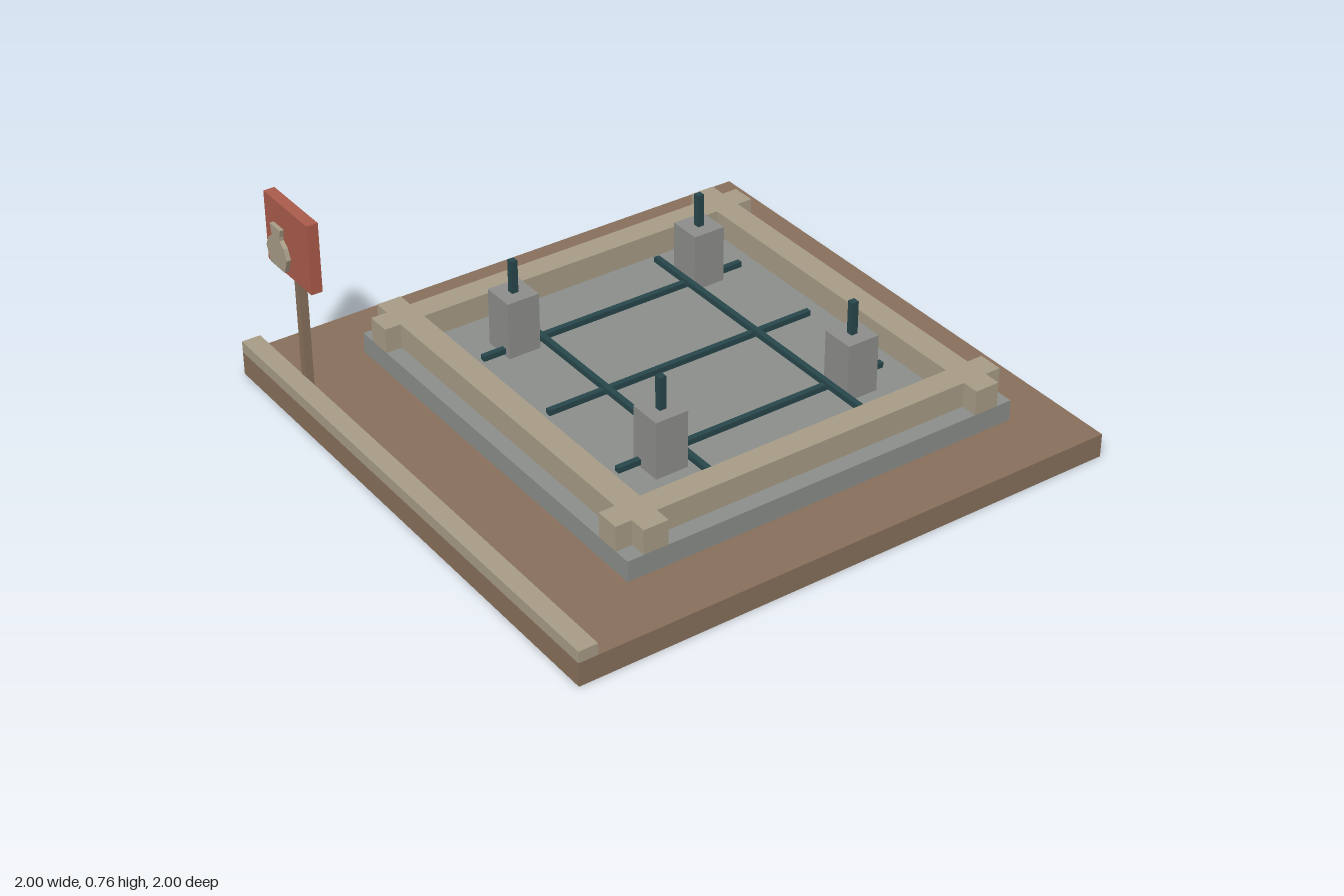
import * as THREE from 'three';

const mat = (name, color) => {
  const m = new THREE.MeshStandardMaterial({ color });
  m.name = name;
  return m;
};

export function createModel() {
  const group = new THREE.Group();
  const earth = mat('earth brown', 0x88705b);
  const sand = mat('sandy beige', 0xa89d87);
  const slabGrey = mat('slab grey', 0x8b8f8a);
  const concrete = mat('concrete grey', 0x8e8e8c);
  const steel = mat('dark teal steel', 0x28474b);
  const red = mat('brick red', 0xab5c4b);

  const add = (name, geometry, material, x = 0, y = 0, z = 0) => {
    const mesh = new THREE.Mesh(geometry, material);
    mesh.name = name;
    mesh.position.set(x, y, z);
    group.add(mesh);
    return mesh;
  };
  // Box given by its lower and upper limits on each axis
  const box = (name, material, [x0, x1], [y0, y1], [z0, z1]) =>
    add(name, new THREE.BoxGeometry(x1 - x0, y1 - y0, z1 - z0), material,
      (x0 + x1) / 2, (y0 + y1) / 2, (z0 + z1) / 2);

  // Ground plate, front kerb and foundation slab
  box('ground', earth, [-1, 1], [0, 0.085], [-1, 1]);
  box('kerb', sand, [-1, 1], [0.085, 0.127], [0.932, 1]);
  box('slab', slabGrey, [-0.768, 0.768], [0.085, 0.16], [-0.812, 0.67]);

  // Crossed formwork beams: one outline with notched corners and an open middle
  const centreZ = -0.071;
  const ox = 0.768, mx = 0.707, ix = 0.618;
  const oz = 0.741, mz = 0.683, iz = 0.593;
  const rect = (x, z) => [[-x, -z], [x, -z], [x, z], [-x, z]].map(p => new THREE.Vector2(...p));
  const quarter = [[ox, iz], [ox, mz], [mx, mz], [mx, oz], [ix, oz], [ix, mz]];
  const outline = [];
  for (const [sx, sz] of [[1, 1], [-1, 1], [-1, -1], [1, -1]]) {
    const corner = quarter.map(([x, z]) => new THREE.Vector2(x * sx, z * sz));
    outline.push(...(sx * sz > 0 ? corner : corner.reverse()));
  }
  // Each side beam is recessed between the corner ends
  const side = outline.map(p => {
    if (Math.abs(p.x) === ox && Math.abs(p.y) === iz) return new THREE.Vector2(Math.sign(p.x) * mx, p.y);
    return p;
  });
  const points = [];
  side.forEach((p, i) => {
    const end = new THREE.Vector2(Math.sign(p.x) * ox, p.y);
    const recessed = Math.abs(p.x) === mx && Math.abs(p.y) === iz;
    const leaving = recessed && i % 12 === 11;
    if (leaving) points.push(end, p);
    else if (recessed) points.push(p, end);
    else points.push(p);
  });
  const frame = new THREE.Shape(points);
  frame.holes.push(new THREE.Path(rect(ix, iz)));
  const frameGeometry = new THREE.ExtrudeGeometry(frame, { depth: 0.09, bevelEnabled: false });
  frameGeometry.rotateX(-Math.PI / 2);
  add('formworkBeams', frameGeometry, sand, 0, 0.16, centreZ);

  // Reinforcement grid lying just above the slab
  for (const x of [-0.385, 0, 0.385])
    box('lengthwiseBar', steel, [x - 0.01, x + 0.01], [0.17, 0.19], [-0.592, 0.445]);
  for (const z of [-0.367, 0.225])
    box('crosswiseBar', steel, [-0.56, 0.56], [0.18, 0.2], [z - 0.01, z + 0.01]);

  // Four footings with a steel starter bar each
  for (const x of [-0.415, 0.415]) {
    for (const z of [-0.44, 0.302]) {
      box('footing', concrete, [x - 0.06, x + 0.06], [0.16, 0.368], [z - 0.06, z + 0.06]);
      box('starterBar', steel, [x - 0.012, x + 0.012], [0.368, 0.487], [z - 0.012, z + 0.012]);
    }
  }

  // Sign post, board and pot-shaped emblem standing off the board
  box('signPost', earth, [-0.717, -0.688], [0.085, 0.635], [0.904, 0.933]);
  box('signBoard', red, [-0.841, -0.563], [0.51, 0.76], [0.915, 0.955]);
  const half = [[0.045, 0.56], [0.066, 0.612], [0.05, 0.648], [0.026, 0.666], [0.026, 0.68], [0.033, 0.706]];
  const pot = new THREE.Shape([
    ...half.map(([x, y]) => new THREE.Vector2(x, y)),
    ...half.slice().reverse().map(([x, y]) => new THREE.Vector2(-x, y)),
  ]);
  add('potEmblem', new THREE.ExtrudeGeometry(pot, { depth: 0.015, bevelEnabled: false }),
    sand, -0.702, 0, 0.98);

  return group;
}
